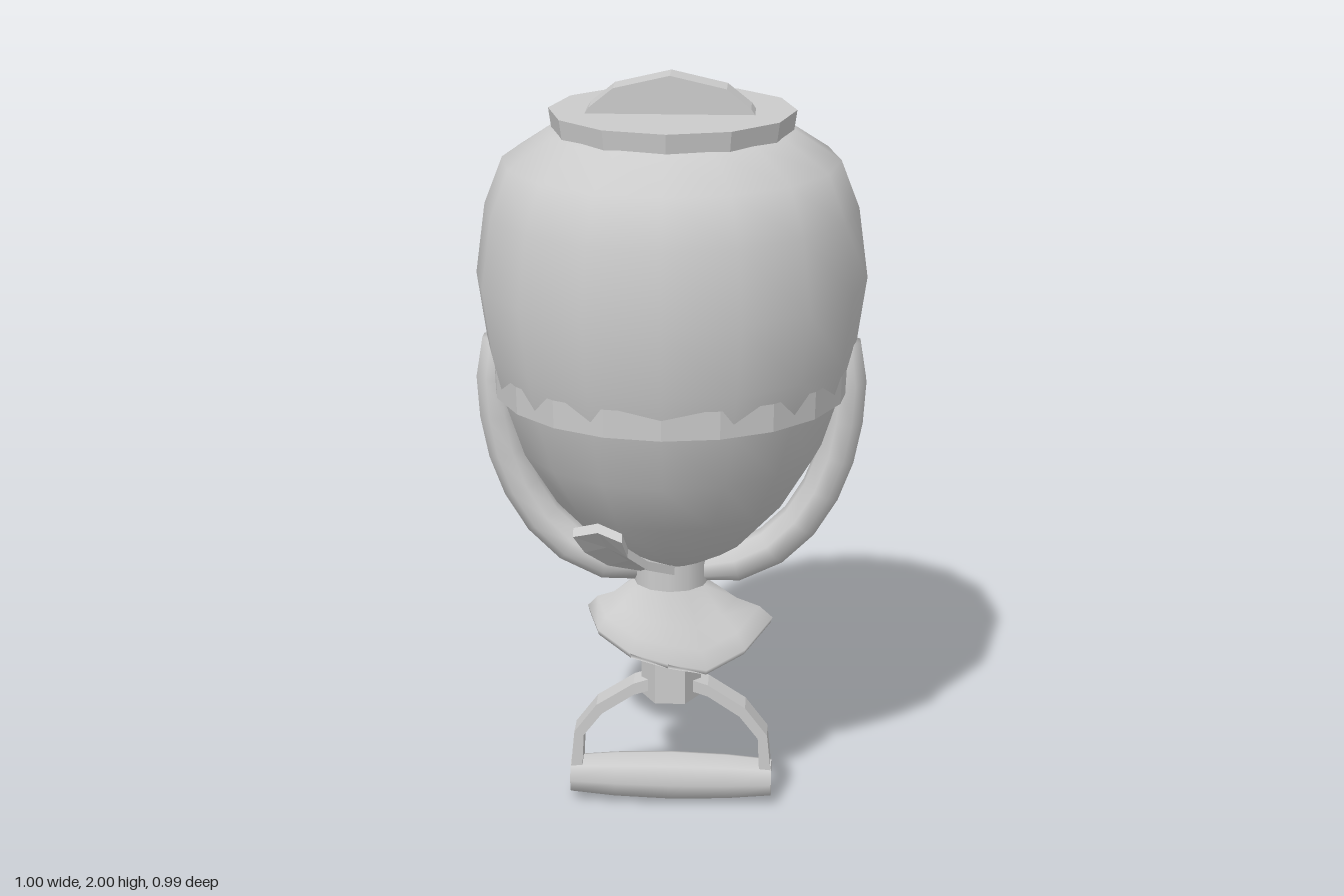
import * as THREE from 'three';

const smooth = new THREE.MeshStandardMaterial({ color: 0xcccccc, side: THREE.DoubleSide });
const flat = new THREE.MeshStandardMaterial({ color: 0xcccccc, flatShading: true, side: THREE.DoubleSide });

const vec2 = (pts) => pts.map(([x, y]) => new THREE.Vector2(x, y));

// Skin a list of closed cross-sections, optionally with end caps
function loft(sections, capped) {
  const n = sections[0].length;
  const pos = sections.flat();
  const idx = [];
  for (let i = 0; i < sections.length - 1; i++) {
    for (let j = 0; j < n; j++) {
      const a = i * n + j, b = i * n + (j + 1) % n;
      idx.push(a, b, a + n, b, b + n, a + n);
    }
  }
  if (capped) {
    [0, sections.length - 1].forEach((s, end) => {
      const centre = [0, 1, 2].map((k) => sections[s].reduce((t, p) => t + p[k], 0) / n);
      const c = pos.push(centre) - 1;
      for (let j = 0; j < n; j++) {
        const a = s * n + j, b = s * n + (j + 1) % n;
        idx.push(c, ...(end ? [a, b] : [b, a]));
      }
    });
  }
  const geo = new THREE.BufferGeometry();
  geo.setAttribute('position', new THREE.Float32BufferAttribute(pos.flat(), 3));
  geo.setIndex(idx);
  geo.computeVertexNormals();
  return geo;
}

export function createModel() {
  const model = new THREE.Group();
  const add = (name, geo, mat = flat) => {
    const mesh = new THREE.Mesh(geo, mat);
    mesh.name = name;
    model.add(mesh);
    return mesh;
  };

  // Egg-shaped vessel
  add('vessel', new THREE.LatheGeometry(vec2([
    [0.08, 0.71], [0.19, 0.77], [0.31, 0.9], [0.395, 1.04], [0.445, 1.19],
    [0.472, 1.3], [0.497, 1.48], [0.472, 1.66], [0.425, 1.78], [0.31, 1.855], [0.2, 1.875],
  ]), 16), smooth);

  // Ledge around the middle
  add('rim', new THREE.LatheGeometry(vec2([[0.41, 1.188], [0.456, 1.188], [0.458, 1.26]]), 20));

  // Lid with its half-round grip
  const lid = add('lid', new THREE.CylinderGeometry(0.31, 0.3, 0.07, 12));
  lid.position.set(0.003, 1.87, 0);
  const gripShape = new THREE.Shape(vec2([
    [-0.22, 1.89], [0.22, 1.89], [0.2, 1.92], [0.14, 1.968], [0, 2], [-0.14, 1.968], [-0.2, 1.92],
  ]));
  const lidGrip = add('lidGrip', new THREE.ExtrudeGeometry(gripShape, { depth: 0.085, bevelEnabled: false }));
  lidGrip.position.z = -0.015;

  // Curved arms holding the vessel
  const armPath = new THREE.CatmullRomCurve3([
    [0.445, 1.31], [0.452, 1.18], [0.425, 1.0], [0.345, 0.83], [0.22, 0.72], [0.07, 0.685],
  ].map(([x, y]) => new THREE.Vector3(x, y, 0)));
  const rings = [];
  for (let i = 0; i <= 8; i++) {
    const p = armPath.getPointAt(i / 8), t = armPath.getTangentAt(i / 8);
    const r = i === 0 ? 0.04 : i === 8 ? 0.035 : 0.05;
    rings.push(Array.from({ length: 8 }, (_, j) => {
      const a = (j + 0.5) * Math.PI / 4;
      const c = r * 1.05 * Math.cos(a);
      return [p.x - t.y * c, p.y + t.x * c, r * 1.27 * Math.sin(a)];
    }));
  }
  const armGeo = loft(rings, true);
  add('leftArm', armGeo, smooth);
  add('rightArm', armGeo, smooth).rotation.y = Math.PI;

  // Collar and hexagonal stem
  add('collar', new THREE.CylinderGeometry(0.1, 0.1, 0.075, 12), smooth).position.y = 0.687;
  const stem = add('stem', new THREE.CylinderGeometry(0.08, 0.08, 0.38, 6));
  stem.position.y = 0.505;
  stem.rotation.y = Math.PI / 6;

  // Draped, uneven skirt on the stem, from the left side round by the front
  const edge = [
    [0.27, 0.55, 0.02], [0.2, 0.49, 0.1], [0.1, 0.45, 0.15], [0, 0.47, 0.16], [-0.1, 0.49, 0.14],
    [-0.19, 0.53, 0.08], [-0.22, 0.575, 0.02], [-0.18, 0.54, -0.05], [-0.09, 0.49, -0.09],
    [0, 0.46, -0.1], [0.1, 0.45, -0.1], [0.21, 0.5, -0.06],
  ];
  const skirtRing = (k, lift, drop) => edge.map(([x, y, z], j) => {
    const a = j * Math.PI / 6;
    const mix = (from, to) => from + (to - from) * k;
    return [mix(0.095 * Math.cos(a), x), mix(0.65, y) + lift - drop, mix(0.08 * Math.sin(a), z)];
  });
  add('skirt', loft([
    skirtRing(0, 0, 0), skirtRing(0.45, -0.005, 0), skirtRing(0.8, 0.01, 0), skirtRing(1, 0, 0),
    skirtRing(0.97, 0, 0.018), skirtRing(0.6, 0, 0.04), skirtRing(0, 0, 0.05),
  ]), smooth);

  // Folded leaf-like spout at the lower front
  const across = [0.9, 0.02, 0.3], out = [0, -0.77, 0.63];
  const leaf = [
    [-0.168, 0.888, 0.315, 0.07], [-0.15, 0.83, 0.27, 0.062],
    [-0.1, 0.77, 0.205, 0.058], [-0.03, 0.715, 0.1, 0.05],
  ].map(([x, y, z, w]) => [
    [1, 0.012], [0, -0.008], [-1, 0.012], [-1, -0.012], [0, -0.032], [1, -0.012],
  ].map(([u, v]) => [x, y, z].map((c, k) => c + across[k] * u * w + out[k] * v)));
  add('spout', loft(leaf, true));

  // Flat bars from the stem to the hand grip
  for (const s of [1, -1]) {
    const bar = new THREE.Shape(vec2([
      [0.04, 0.375], [0.1, 0.355], [0.2, 0.29], [0.26, 0.21], [0.272, 0.09],
      [0.24, 0.09], [0.235, 0.2], [0.185, 0.265], [0.1, 0.322], [0.04, 0.342],
    ].map(([x, y]) => [x * s, y])));
    const mesh = add(s > 0 ? 'leftBar' : 'rightBar',
      new THREE.ExtrudeGeometry(bar, { depth: 0.07, bevelEnabled: false }));
    mesh.position.z = -0.035;
  }

  // Barrel-shaped hand grip with flat ends
  const grip = new THREE.Group();
  grip.name = 'handGrip';
  const barrel = new THREE.Mesh(new THREE.LatheGeometry(vec2([
    [0.052, -0.272], [0.063, -0.15], [0.068, 0], [0.063, 0.15], [0.052, 0.272],
  ]), 8), smooth);
  barrel.name = 'gripBarrel';
  grip.add(barrel);
  for (const s of [1, -1]) {
    const end = new THREE.Mesh(new THREE.CylinderGeometry(0.052, 0.052, 0.004, 8), flat);
    end.name = 'gripEnd';
    end.position.y = s * 0.27;
    grip.add(end);
  }
  grip.rotation.z = Math.PI / 2;
  grip.position.y = 0.07;
  model.add(grip);

  return model;
}
